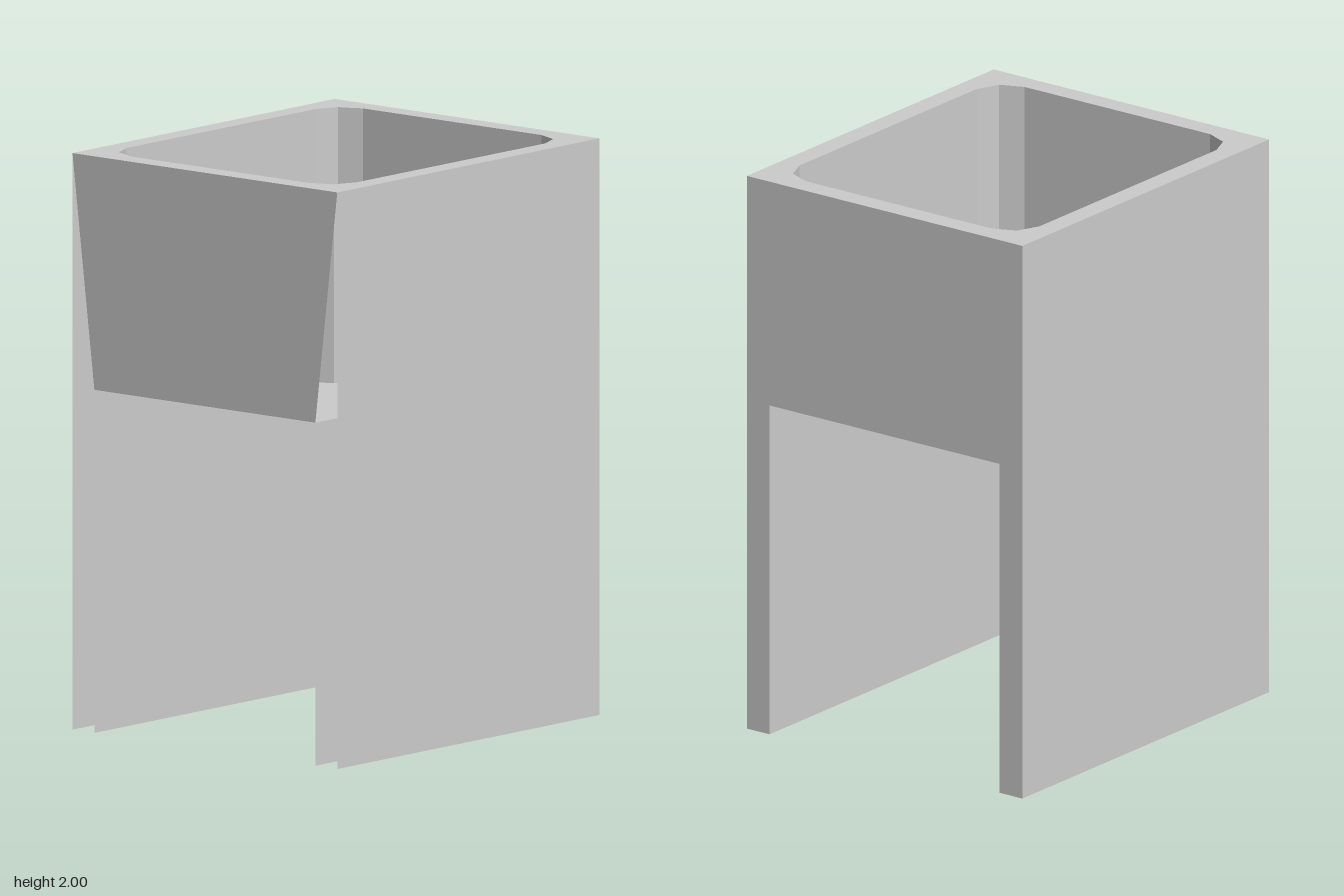
import * as THREE from 'three';

const W = 0.593, D = 0.692, H = 2;      // outer half width, half depth, height
const IN = 0.495, UNDER = 1.19;         // inner leg face, underside height
const FLOOR = 1.31;                     // basin floor height

const material = new THREE.MeshStandardMaterial({
  color: 0xcccccc, flatShading: true, side: THREE.DoubleSide,
});

const toShape = (pts) => new THREE.Shape(pts.map(([x, y]) => new THREE.Vector2(x, y)));

function addMesh(group, name, geometry) {
  const mesh = new THREE.Mesh(geometry, material);
  mesh.name = name;
  group.add(mesh);
  return mesh;
}

// Chamfered outline of the basin, one corner per quadrant
function basinOutline() {
  const corner = [[0.516, 0.497], [0.482, 0.578], [0.4, 0.613]];
  const pts = [];
  for (const [sx, sz] of [[1, 1], [-1, 1], [-1, -1], [1, -1]]) {
    const c = corner.map(([x, z]) => [x * sx, z * sz]);
    pts.push(...(sx * sz > 0 ? c : c.reverse()));
  }
  return pts;
}

// Upright walls around the outline, facing inward
function wallGeometry(outline, y0, y1) {
  const pos = [];
  outline.forEach(([px, pz], i) => {
    const [qx, qz] = outline[(i + 1) % outline.length];
    pos.push(px, y1, pz, px, y0, pz, qx, y1, qz);
    pos.push(qx, y1, qz, px, y0, pz, qx, y0, qz);
  });
  const g = new THREE.BufferGeometry();
  g.setAttribute('position', new THREE.Float32BufferAttribute(pos, 3));
  g.computeVertexNormals();
  return g;
}

export function createModel() {
  const group = new THREE.Group();
  group.name = 'basinStand';
  const outline = basinOutline();

  // Tapered front apron; the legs stay open at the front and bottom
  const apron = toShape([[-IN, UNDER], [IN, UNDER], [W, H], [-W, H]]);
  addMesh(group, 'frontApron', new THREE.ShapeGeometry(apron)).position.z = D;

  // Back panel with the opening between the legs
  const back = toShape([
    [-W, 0], [-IN, 0], [-IN, UNDER], [IN, UNDER], [IN, 0], [W, 0], [W, H], [-W, H],
  ]);
  addMesh(group, 'backPanel', new THREE.ShapeGeometry(back).rotateY(Math.PI)).position.z = -D;

  // Outer sides and inner leg faces
  for (const s of [1, -1]) {
    const side = s > 0 ? 'left' : 'right';
    const outer = new THREE.PlaneGeometry(2 * D, H).rotateY(s * Math.PI / 2);
    addMesh(group, side + 'OuterPanel', outer).position.set(s * W, H / 2, 0);
    const inner = new THREE.PlaneGeometry(2 * D, UNDER).rotateY(-s * Math.PI / 2);
    addMesh(group, side + 'InnerPanel', inner).position.set(s * IN, UNDER / 2, 0);
  }

  // Underside between the legs
  const under = new THREE.PlaneGeometry(2 * IN, 2 * D).rotateX(Math.PI / 2);
  addMesh(group, 'underside', under).position.y = UNDER;

  // Top rim around the basin
  const rim = toShape([[-W, -D], [W, -D], [W, D], [-W, D]]);
  rim.holes.push(toShape(outline));
  addMesh(group, 'topRim', new THREE.ShapeGeometry(rim).rotateX(-Math.PI / 2)).position.y = H;

  // Basin walls and floor
  addMesh(group, 'basinWalls', wallGeometry(outline, FLOOR, H));
  const floor = new THREE.ShapeGeometry(toShape(outline)).rotateX(-Math.PI / 2);
  addMesh(group, 'basinFloor', floor).position.y = FLOOR;

  return group;
}
